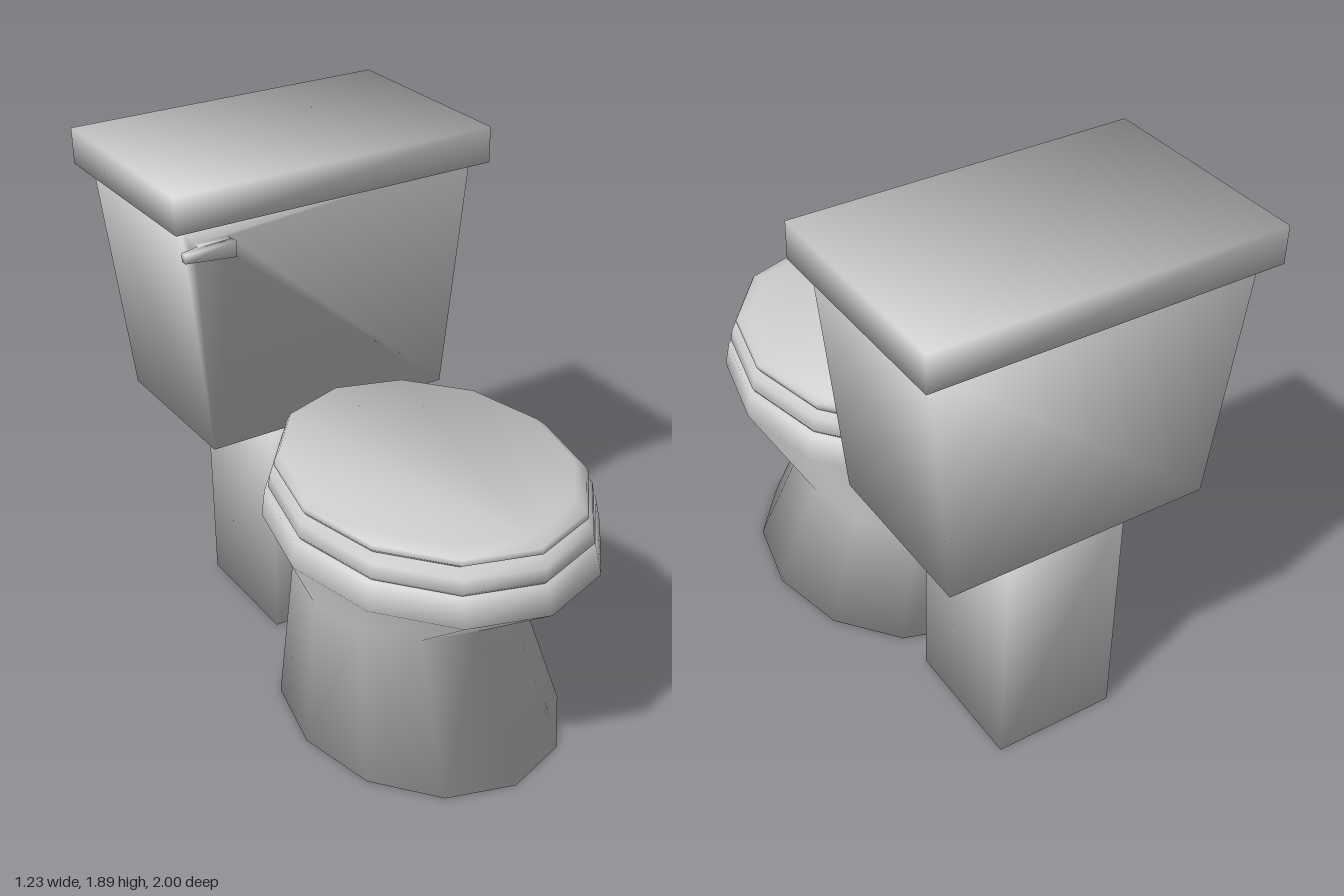
import * as THREE from 'three';

const SIDES = 12;
const material = new THREE.MeshStandardMaterial({ color: 0xcccccc });

// Soft normals shared over every edge, each face weighted by its corner angle
function softenNormals(g) {
  const p = g.attributes.position, index = g.index.array;
  const at = (i) => new THREE.Vector3().fromBufferAttribute(p, i);
  const sums = Array.from({ length: p.count }, () => new THREE.Vector3());
  for (let t = 0; t < index.length; t += 3) {
    for (let k = 0; k < 3; k++) {
      const corner = index[t + k];
      const u = at(index[t + (k + 1) % 3]).sub(at(corner));
      const v = at(index[t + (k + 2) % 3]).sub(at(corner));
      const angle = u.angleTo(v);
      sums[corner].addScaledVector(u.cross(v).normalize(), angle);
    }
  }
  const normals = sums.flatMap((n) => n.normalize().toArray());
  g.setAttribute('normal', new THREE.Float32BufferAttribute(normals, 3));
}

// Closed loft through rings of points, each counter-clockwise seen from the end
function loft(name, rings) {
  const n = rings[0].length, index = [];
  for (let r = 0; r < rings.length - 1; r++) {
    for (let i = 0; i < n; i++) {
      const a = r * n + i, b = r * n + (i + 1) % n;
      index.push(a, b, b + n, a, b + n, a + n);
    }
  }
  // End caps as fans
  const end = (rings.length - 1) * n;
  for (let i = 1; i < n - 1; i++) {
    index.push(0, i + 1, i, end, end + i, end + i + 1);
  }
  const g = new THREE.BufferGeometry();
  g.setAttribute('position', new THREE.Float32BufferAttribute(rings.flat(2), 3));
  g.setIndex(index);
  softenNormals(g);
  const mesh = new THREE.Mesh(g, material);
  mesh.name = name;
  return mesh;
}

// Horizontal oval ring
function oval(y, halfWidth, front, back) {
  const cz = (front + back) / 2, rz = (front - back) / 2;
  return Array.from({ length: SIDES }, (_, i) => {
    const a = (i / SIDES) * Math.PI * 2;
    return [halfWidth * Math.sin(a), y, cz + rz * Math.cos(a)];
  });
}

// Horizontal rectangular ring
function slab(y, halfWidth, front, back) {
  return [[-halfWidth, y, front], [halfWidth, y, front], [halfWidth, y, back], [-halfWidth, y, back]];
}

// Upright four-sided ring, wider and deeper at the top
function tankFace(bottomZ, topZ) {
  return [[-0.48, 0.9, bottomZ], [0.48, 0.9, bottomZ], [0.57, 1.77, topZ], [-0.57, 1.77, topZ]];
}

// Upright ring of the flush lever, its left end slimmer by the given taper
function leverFace(z, x0, x1, taper) {
  return [[x0, 1.64 + taper, z], [x1, 1.64, z], [x1, 1.697, z], [x0, 1.697 - taper / 2, z]];
}

export function createModel() {
  const group = new THREE.Group();

  // Bowl with flared foot, narrow waist and rim
  group.add(loft('bowl', [
    oval(0, 0.477, 0.87, -0.3),
    oval(0.49, 0.37, 0.62, -0.282),
    oval(0.79, 0.54, 1.0, -0.328),
    oval(0.885, 0.528, 0.968, -0.31),
  ]));
  group.add(loft('seat', [
    oval(0.885, 0.505, 0.955, -0.285),
    oval(0.9, 0.515, 0.968, -0.3),
    oval(0.945, 0.508, 0.96, -0.295),
    oval(0.965, 0.485, 0.92, -0.275),
  ]));
  group.add(loft('seatLid', [
    oval(0.96, 0.475, 0.9, -0.25),
    oval(0.985, 0.494, 0.94, -0.275),
    oval(1.0, 0.49, 0.93, -0.275),
    oval(1.02, 0.465, 0.875, -0.268),
  ]));

  // Cistern on its pedestal
  group.add(loft('pedestal', [
    slab(0, 0.225, -0.36, -0.85),
    slab(0.905, 0.225, -0.36, -0.85),
  ]));
  // Tank drawn out at the front into the stem and bar of the flush lever
  group.add(loft('tankWithFlushLever', [
    tankFace(-0.915, -0.945),
    tankFace(-0.3, -0.272),
    leverFace(-0.275, -0.52, -0.4, 0),
    leverFace(-0.252, -0.52, -0.398, 0),
    leverFace(-0.25, -0.583, -0.395, 0.018),
    leverFace(-0.225, -0.583, -0.395, 0.018),
  ]));
  group.add(loft('tankLid', [
    slab(1.765, 0.615, -0.215, -1),
    slab(1.895, 0.615, -0.215, -1),
  ]));

  return group;
}
